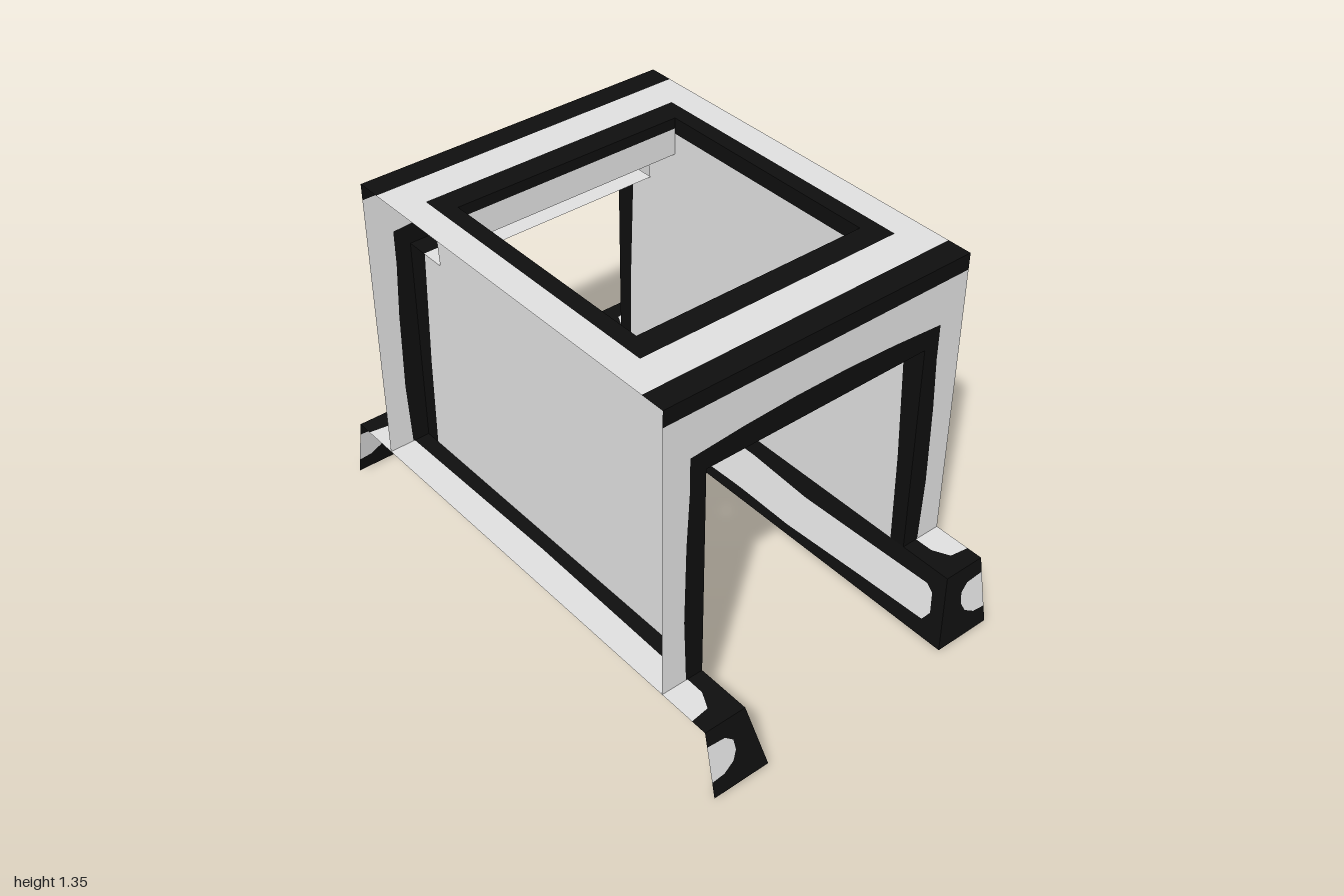
import * as THREE from 'three';

const light = new THREE.MeshStandardMaterial({ name: 'paleGrey', color: 0xdedede, side: THREE.DoubleSide });
const black = new THREE.MeshStandardMaterial({ name: 'black', color: 0x0e0e0e, side: THREE.DoubleSide });

const vec = (p) => new THREE.Vector2(p[0], p[1]);
const rect = (a, b, c, d) => [[a, b], [c, b], [c, d], [a, d]];
// completes a half outline with its mirror image across the v axis
const mirrored = (half) => [...half, ...half.map(([u, v]) => [-u, v]).reverse()];

// flat sheet drawn in (u, v) and placed in space by a mapping
function sheet(parent, name, mat, outline, place, hole) {
  const shape = new THREE.Shape(outline.map(vec));
  if (hole) shape.holes.push(new THREE.Path(hole.map(vec)));
  const geo = new THREE.ShapeGeometry(shape);
  const pos = geo.attributes.position;
  for (let i = 0; i < pos.count; i++) pos.setXYZ(i, ...place(pos.getX(i), pos.getY(i)));
  geo.computeVertexNormals();
  const mesh = new THREE.Mesh(geo, mat);
  mesh.name = name;
  parent.add(mesh);
}

export function createModel() {
  const model = new THREE.Group();
  model.name = 'openFrameOnSkids';

  // roof with a square opening
  const roof = new THREE.Group();
  roof.name = 'roof';
  const onRoof = (x, z) => [x, 1.35, -z];
  const ring = rect(-0.5, -0.53, 0.5, 0.53);
  sheet(roof, 'roofPanel', light, rect(-0.6, -0.66, 0.6, 0.66), onRoof, ring);
  sheet(roof, 'roofOpeningRim', black, ring, onRoof, rect(-0.44, -0.44, 0.44, 0.44));
  for (const s of [-1, 1]) {
    sheet(roof, 'roofEndBand', black, rect(-0.6, s * 0.66, 0.6, s * 0.75), onRoof);
  }
  model.add(roof);

  // front and back portals, with the turned-in edges behind them
  const inner = [[0.505, 0.25], [0.515, 0.5], [0.51, 0.8], [0.5, 1.0], [0.5, 1.13], [0.3, 1.145], [0.1, 1.153]];
  for (const s of [1, -1]) {
    const portal = new THREE.Group();
    portal.name = s > 0 ? 'frontPortal' : 'backPortal';
    const onEnd = (x, y) => [s * x, y, s * 0.75];
    const arch = mirrored(inner);
    sheet(portal, 'portalPanel', light,
      [[-0.6, 0.25], [-0.6, 1.29], [0.6, 1.29], [0.6, 0.25], ...arch], onEnd);
    sheet(portal, 'portalRim', black,
      [...arch, [-0.44, 0.25], [-0.44, 1.06], [0.44, 1.06], [0.44, 0.25]], onEnd);
    sheet(portal, 'portalTopBand', black, rect(-0.6, 1.29, 0.6, 1.35), onEnd);

    const underLintel = (x, z) => [x, 1.06, s * z];
    sheet(portal, 'lintelEdge', black, rect(-0.44, 0.67, 0.44, 0.75), underLintel);
    sheet(portal, 'lintelUnderside', light, rect(-0.44, 0.57, 0.44, 0.67), underLintel);

    const onLip = (x, y) => [x, y, s * 0.44];
    sheet(portal, 'roofLipBand', black, rect(-0.44, 1.31, 0.44, 1.35), onLip);
    sheet(portal, 'roofLip', light,
      [[-0.44, 1.31], [-0.44, 1.29], [-0.48, 1.21], [0.48, 1.21], [0.44, 1.29], [0.44, 1.31]], onLip);
    model.add(portal);
  }

  // side walls and skids
  const wallEdge = [[0.69, 0.25], [0.685, 0.6], [0.665, 1.06]];
  const blob = [[0.6, 0.06], [0.55, 0.065], [0.51, 0.09], [0.495, 0.125], [0.5, 0.165], [0.53, 0.19], [0.6, 0.195]];
  for (const s of [1, -1]) {
    const wall = new THREE.Group();
    wall.name = s > 0 ? 'leftWall' : 'rightWall';
    const onWall = (z, y) => [s * 0.44, y, z];
    sheet(wall, 'wallPanel', light, mirrored([...wallEdge, [0.575, 1.06], [0.595, 1.29]]), onWall);
    sheet(wall, 'wallTopBand', black, rect(-0.44, 1.29, 0.44, 1.35), onWall);
    for (const e of [-1, 1]) {
      sheet(wall, 'wallEndBand', black,
        [...wallEdge, [0.75, 1.06], [0.75, 0.25]].map(([z, y]) => [e * z, y]), onWall);
    }
    model.add(wall);

    const skid = new THREE.Group();
    skid.name = s > 0 ? 'leftSkid' : 'rightSkid';
    // top of the skid
    const onTop = (x, z) => [s * x, 0.25, z];
    const topLight = [[0.6, -0.89], [0.53, -0.88], [0.5, -0.82], [0.49, 0], [0.5, 0.82], [0.53, 0.88], [0.6, 0.89]];
    sheet(skid, 'skidTop', light, topLight, onTop);
    sheet(skid, 'skidTopBorder', black,
      [[0.44, -0.95], [0.6, -0.95], ...topLight, [0.6, 0.95], [0.44, 0.95]], onTop);
    // sloping inner face
    const onSlope = (z, y) => [s * (0.38 + 0.24 * y), y, z];
    const panel = mirrored([[0.03, 0.04], [0.25, 0.035], [0.6, 0.05], [0.9, 0.06], [0.925, 0.1],
      [0.91, 0.17], [0.88, 0.19], [0.7, 0.185], [0.3, 0.175], [0.03, 0.19]]);
    sheet(skid, 'skidInnerFace', light, panel, onSlope);
    sheet(skid, 'skidInnerBorder', black, [[-1, 0], [1, 0], [0.95, 0.25], [-0.95, 0.25]], onSlope, panel);
    // sloping ends
    for (const e of [-1, 1]) {
      const onCap = (x, y) => [s * x, y, e * (1 - 0.2 * y)];
      sheet(skid, 'skidEnd', light, blob, onCap);
      sheet(skid, 'skidEndBorder', black,
        [[0.38, 0], [0.6, 0], ...blob, [0.6, 0.25], [0.44, 0.25]], onCap);
    }
    model.add(skid);
  }
  return model;
}
